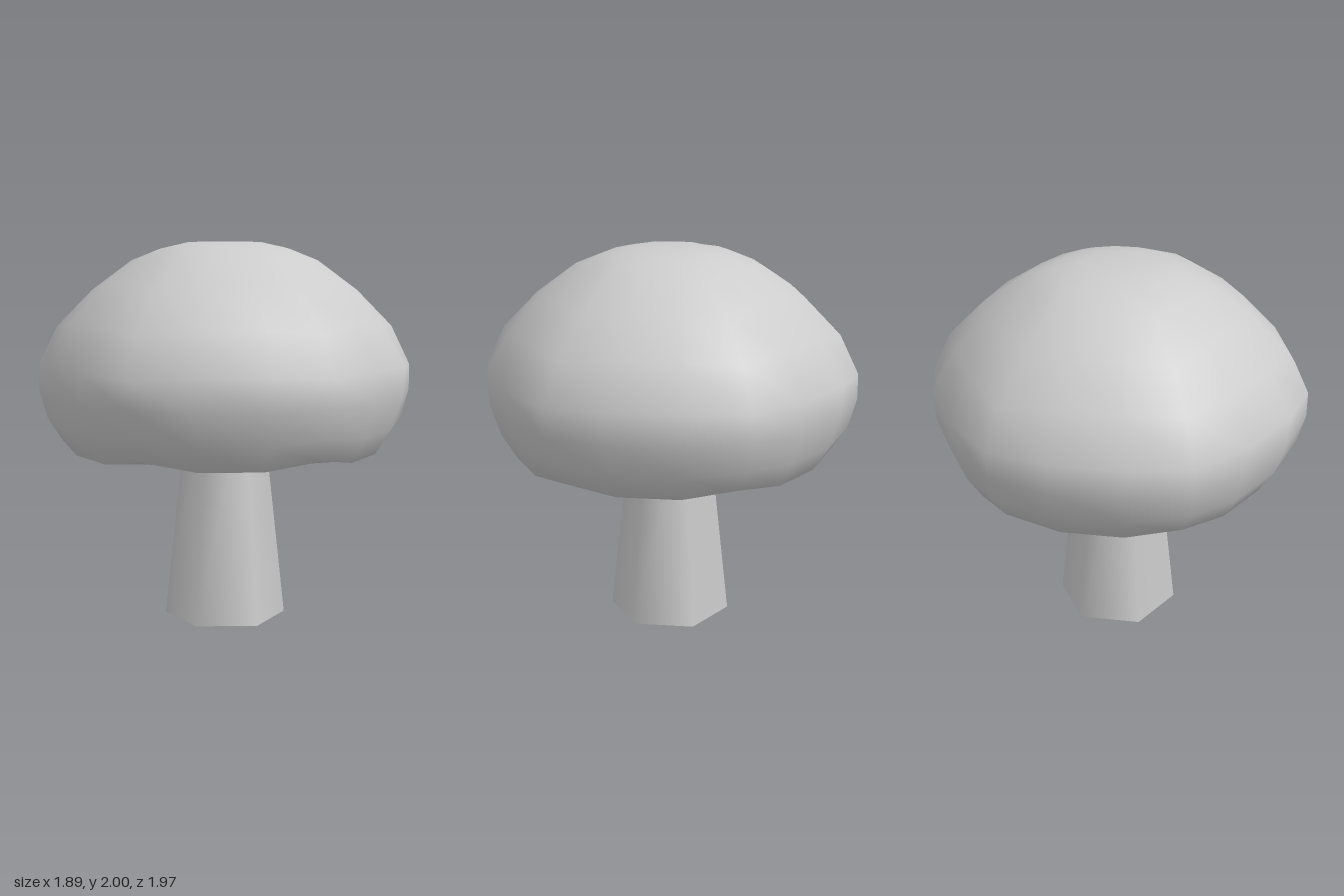
import * as THREE from 'three';
import { mergeVertices } from 'three/addons/utils/BufferGeometryUtils.js';

// Cross-sections [radius, height], from the hollow's ceiling, round the lip, to the crown.
const hollow = [[0, 1.18], [0.25, 1.18], [0.5, 1.165], [0.56, 1.05], [0.63, 0.95]];
const ridgeProfile = [
  ...hollow, [0.7, 0.935], [0.8, 0.935], [0.87, 0.955], [0.945, 1.07], [0.987, 1.22],
  [0.987, 1.355], [0.887, 1.56], [0.7, 1.75], [0.49, 1.905], [0.34, 1.965], [0.19, 2.0], [0, 2.0],
];
const sideProfile = [
  ...hollow, [0.68, 0.915], [0.75, 0.91], [0.815, 0.91], [0.895, 1.04], [0.947, 1.2],
  [0.963, 1.37], [0.835, 1.59], [0.655, 1.78], [0.445, 1.92], [0.31, 1.975], [0.17, 2.0], [0, 2.0],
];

// Every third column follows the ridge; the two between it follow the fuller side section.
function capGeometry() {
  const columns = 18;
  const points = ridgeProfile.map(([r, y]) => new THREE.Vector2(r, y));
  let geo = new THREE.LatheGeometry(points, columns);
  const pos = geo.attributes.position;
  for (let i = 0; i < pos.count; i++) {
    const column = Math.floor(i / points.length);
    const step = column % 3;
    if (step === 0) continue;
    const [r, y] = sideProfile[i % points.length];
    // side columns lean a little towards the nearest ridge
    const angle = (column / columns) * Math.PI * 2 + (step === 1 ? -0.02 : 0.02);
    pos.setXYZ(i, r * Math.sin(angle), y, r * Math.cos(angle));
  }
  // weld the seam so the shading runs smoothly all round
  geo.deleteAttribute('uv');
  geo.deleteAttribute('normal');
  geo = mergeVertices(geo, 1e-4);
  geo.computeVertexNormals();
  return geo;
}

export function createModel() {
  const group = new THREE.Group();
  group.name = 'mushroom';

  const grey = new THREE.MeshStandardMaterial({ color: 0xcccccc });
  grey.name = 'plain grey';

  // domed cap with a hollow underside
  const cap = new THREE.Mesh(capGeometry(), grey);
  cap.name = 'cap';
  group.add(cap);

  // tapered six-sided stem reaching up to the ceiling of the hollow
  const height = 1.18;
  const stem = new THREE.Mesh(new THREE.CylinderGeometry(0.195, 0.323, height, 6, 1, true), grey);
  stem.name = 'stem';
  stem.position.y = height / 2;
  group.add(stem);

  // flat foot of the stem
  const foot = new THREE.Mesh(new THREE.CircleGeometry(0.323, 6, Math.PI / 2), grey);
  foot.name = 'stemFoot';
  foot.rotation.x = Math.PI / 2;
  group.add(foot);

  return group;
}
